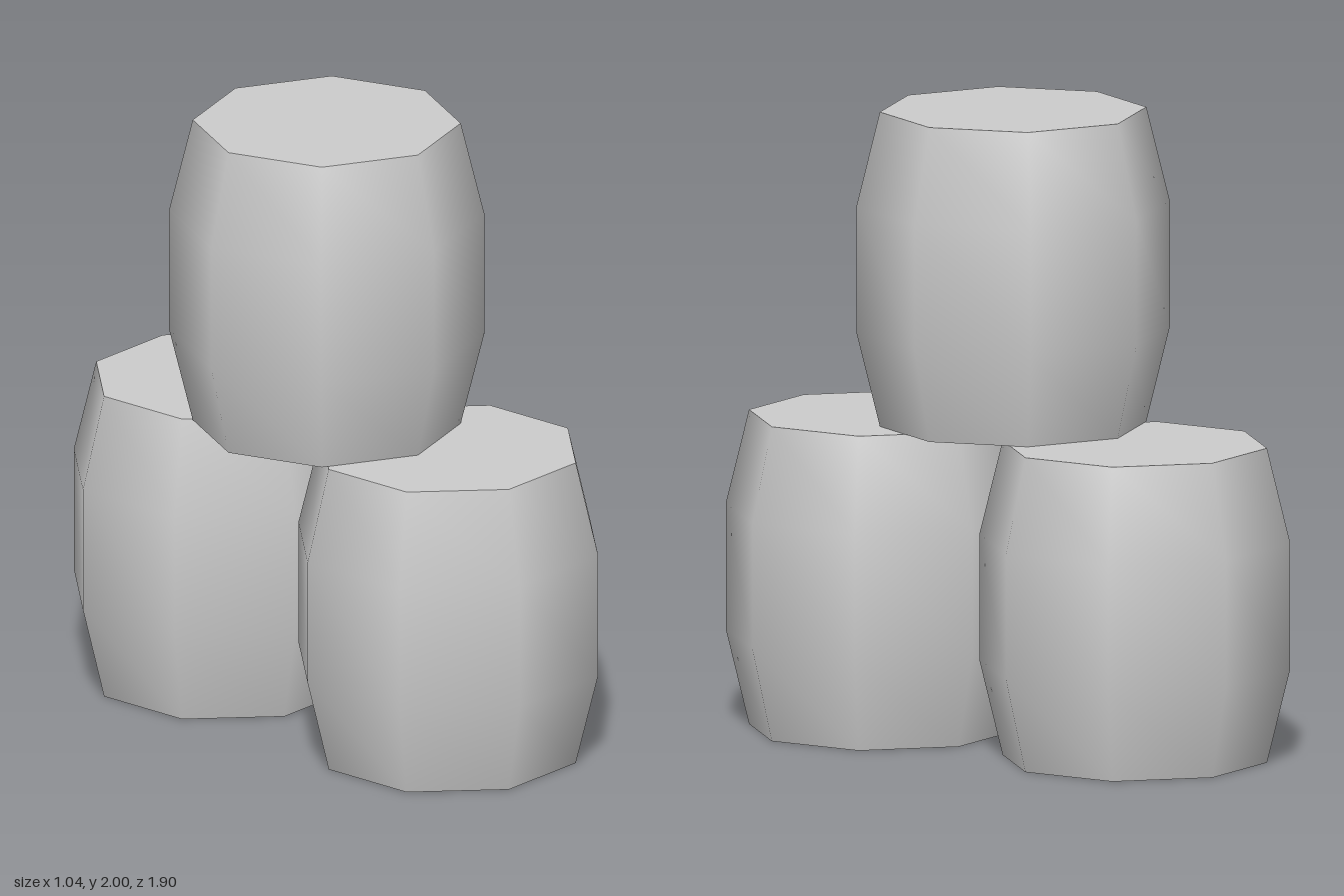
import * as THREE from 'three';

const SIDES = 8;
const HEIGHT = 1;
const END_RADIUS = 0.42;
const BELLY_RADIUS = 0.494;

// Bulging stave wall, smooth around and along its length
function wallGeometry() {
  const profile = [
    [END_RADIUS, 0],
    [BELLY_RADIUS, 0.3],
    [BELLY_RADIUS, 0.7],
    [END_RADIUS, HEIGHT],
  ].map(([r, y]) => new THREE.Vector2(r, y));
  return new THREE.LatheGeometry(profile, SIDES);
}

export function createModel() {
  const grey = new THREE.MeshStandardMaterial({ color: 0xcccccc });
  grey.name = 'plain grey';

  const wall = wallGeometry();
  const lid = new THREE.CircleGeometry(END_RADIUS, SIDES).rotateX(-Math.PI / 2).translate(0, HEIGHT, 0);
  const base = new THREE.CircleGeometry(END_RADIUS, SIDES).rotateX(Math.PI / 2);

  function barrel(name, x, y, z, turn) {
    const group = new THREE.Group();
    group.name = name;
    for (const [part, geometry] of [['wall', wall], ['lid', lid], ['base', base]]) {
      const mesh = new THREE.Mesh(geometry, grey);
      mesh.name = part;
      group.add(mesh);
    }
    group.position.set(x, y, z);
    group.rotation.y = -THREE.MathUtils.degToRad(turn);
    return group;
  }

  // Two barrels on the ground, one stacked across them
  const model = new THREE.Group();
  model.name = 'barrelStack';
  model.add(
    barrel('frontBarrel', 0.055, 0, 0.485, 19.5),
    barrel('backBarrel', 0.055, 0, -0.487, 19.5),
    barrel('topBarrel', -0.028, HEIGHT, 0.038, 3.5),
  );
  return model;
}
